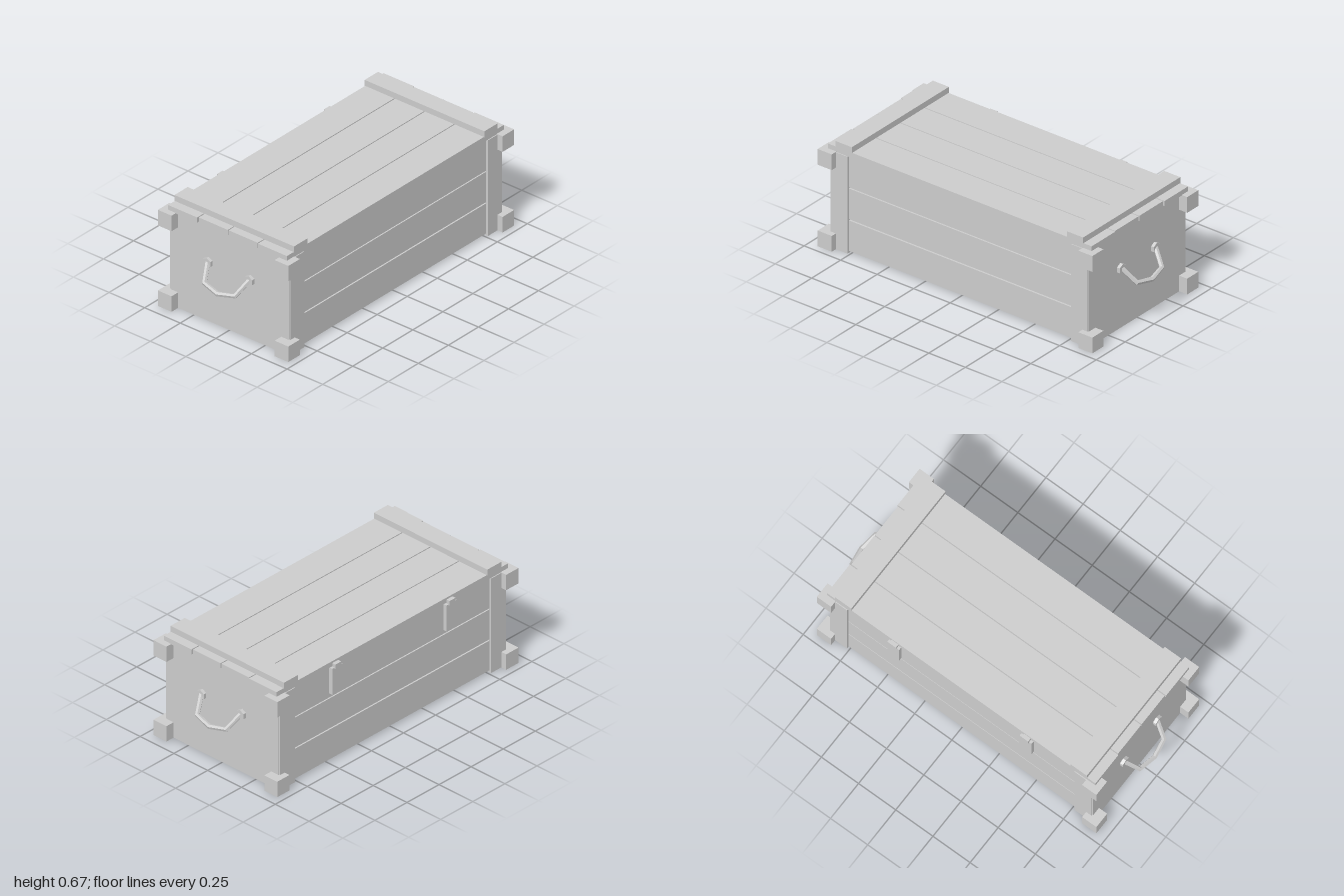
import * as THREE from 'three';

// Straight-segment path so that each bend of the handle stays crisp
class Polyline extends THREE.Curve {
  constructor(points) { super(); this.points = points; }
  getPoint(t, target = new THREE.Vector3()) {
    const n = this.points.length - 1;
    const i = Math.min(Math.floor(t * n), n - 1);
    return target.lerpVectors(this.points[i], this.points[i + 1], t * n - i);
  }
  getPointAt(u, target) { return this.getPoint(u, target); }
  getTangentAt(u, target) { return this.getTangent(u, target); }
}

export function createModel() {
  const model = new THREE.Group();
  model.name = 'crate';
  const grey = new THREE.MeshStandardMaterial({ color: 0xcccccc });
  grey.name = 'lightGrey';

  const add = (name, geometry, parent = model) => {
    const mesh = new THREE.Mesh(geometry, grey);
    mesh.name = name;
    parent.add(mesh);
    return mesh;
  };
  // Box given by its limits on each axis
  const box = (name, x0, x1, y0, y1, z0, z1, parent) => {
    const mesh = add(name, new THREE.BoxGeometry(x1 - x0, y1 - y0, z1 - z0), parent);
    mesh.position.set((x0 + x1) / 2, (y0 + y1) / 2, (z0 + z1) / 2);
    return mesh;
  };

  // Body behind the planks
  box('innerBody', -0.77, 0.77, 0.012, 0.597, -0.395, 0.395);

  // Three planks on the front and back
  for (const s of [1, -1]) {
    for (const [y0, y1] of [[0.012, 0.2], [0.208, 0.397], [0.404, 0.592]]) {
      box('sidePlank', -0.765, 0.765, y0, y1, s > 0 ? 0.39 : -0.41, s > 0 ? 0.41 : -0.39);
    }
  }

  // Lid boards
  for (let i = 0; i < 4; i++) {
    const z = -0.315 + i * 0.21;
    const end = i === 0 || i === 3 ? 0.903 : 0.897;
    box('lidBoard', -end, end, 0.597, 0.629, z - 0.102, z + 0.102);
  }

  for (const s of [1, -1]) {
    const mid = (name, x, width, y0, y1, z0, z1) =>
      box(name, s * x - width / 2, s * x + width / 2, y0, y1, z0, z1);

    // End frame, end panel and lid batten
    mid('endFrame', 0.822, 0.115, 0, 0.597, -0.422, 0.422);
    mid('endPanel', 0.875, 0.02, 0, 0.597, -0.415, 0.415);
    mid('lidBatten', 0.792, 0.11, 0.627, 0.665, -0.42, 0.42);

    // Corner blocks
    for (const z of [-0.41, 0.41]) {
      for (const y of [0, 0.503]) {
        mid('cornerBlock', 0.892, 0.096, y, y + 0.097, z - 0.048, z + 0.048);
      }
    }

    // Back hinge: hanging plate and upper knuckle
    mid('hingePlate', 0.445, 0.08, 0.43, 0.594, -0.433, -0.405);
    mid('hingeKnuckle', 0.445, 0.046, 0.588, 0.617, -0.44, -0.41);

    // Hexagonal handle mounts
    for (const z of [-0.147, 0.147]) {
      const geometry = new THREE.CylinderGeometry(0.031, 0.031, 0.024, 6).toNonIndexed();
      geometry.rotateY(Math.PI / 2);
      geometry.rotateZ(Math.PI / 2);
      geometry.computeVertexNormals();
      const mount = add('handleMount', geometry);
      mount.position.set(s * 0.892, 0.37, z);
    }

    // Hanging handle
    const path = [[0.893, 0.372, 0.147], [0.968, 0.29, 0.107], [0.986, 0.271, 0],
      [0.968, 0.29, -0.107], [0.893, 0.372, -0.147]]
      .map(([x, y, z]) => new THREE.Vector3(s * x, y, z));
    const bar = new THREE.TubeGeometry(new Polyline(path), 4, 0.0145, 6).toNonIndexed();
    bar.computeVertexNormals();
    add('handle', bar);
  }
  return model;
}
